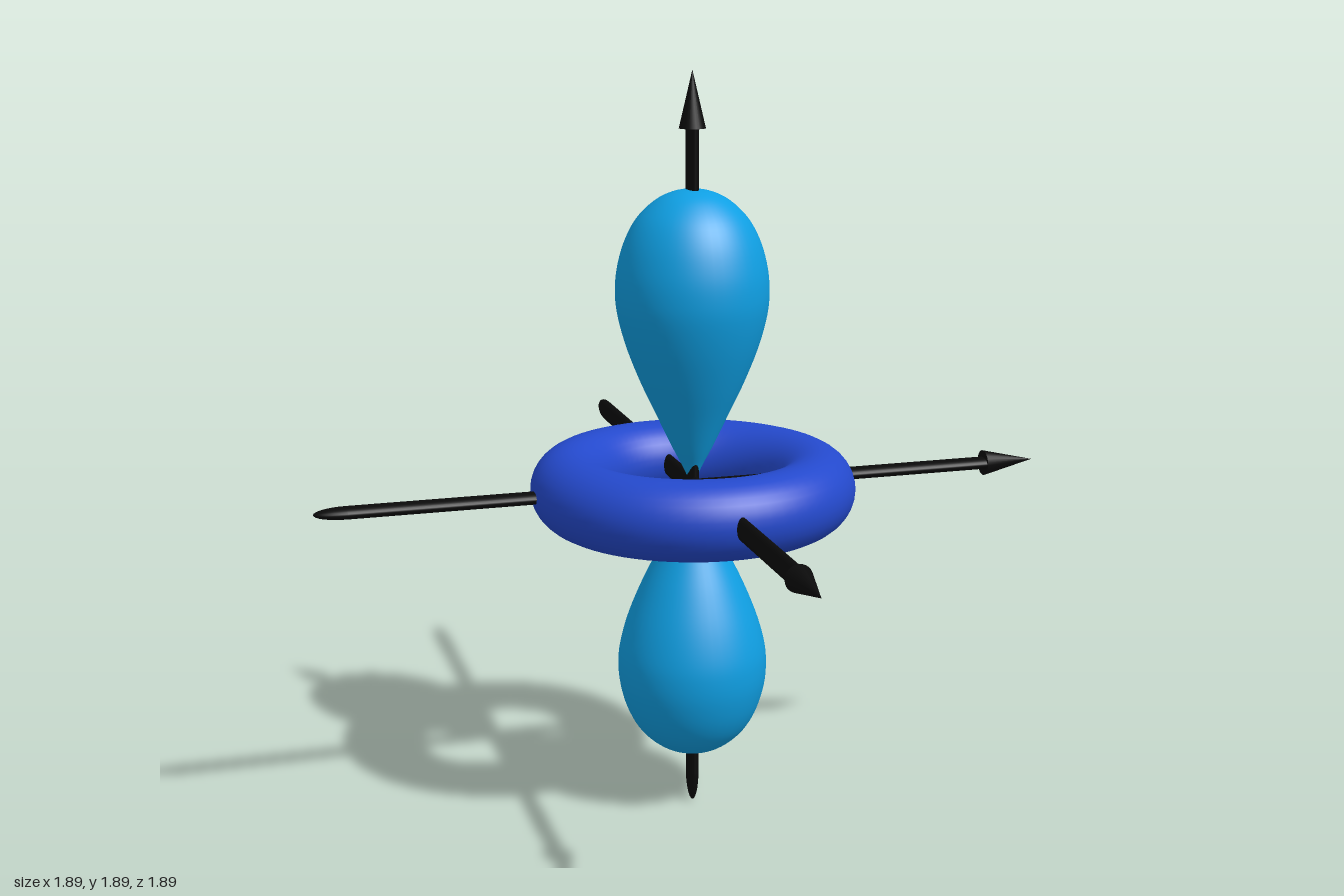
import * as THREE from 'three';

const mat = (name, color) => {
  const m = new THREE.MeshStandardMaterial({ color });
  m.name = name;
  return m;
};

export function createModel() {
  const black = mat('black', 0x0a0a0a);
  const skyBlue = mat('skyBlue', 0x0f9fe3);
  const deepBlue = mat('deepBlue', 0x2449cc);
  const root = new THREE.Group();
  root.name = 'orbital';
  const cx = -0.05, cy = 0.855;

  const add = (parent, name, geometry, material) => {
    const mesh = new THREE.Mesh(geometry, material);
    mesh.name = name;
    parent.add(mesh);
    return mesh;
  };

  // Arrow along +y: flattened rod with a rounded tail, and a round head
  const length = 1.89, headLength = 0.14, tail = 0.08;
  const rodProfile = [];
  for (let i = 0; i <= 8; i++) {
    const a = (i / 8) * Math.PI / 2;
    rodProfile.push(new THREE.Vector2(Math.sin(a), tail * (1 - Math.cos(a))));
  }
  rodProfile.push(new THREE.Vector2(1, length - headLength));
  const rodGeometry = new THREE.LatheGeometry(rodProfile, 24).scale(0.015, 1, 0.029);
  const headGeometry = new THREE.ConeGeometry(0.033, headLength, 24)
    .translate(0, length - headLength / 2, 0);

  const arrow = (name, position, rotation) => {
    const g = new THREE.Group();
    g.name = name;
    add(g, name + 'Rod', rodGeometry, black);
    add(g, name + 'Head', headGeometry, black);
    g.position.set(...position);
    g.rotation.set(...rotation);
    root.add(g);
  };
  arrow('sidewaysAxis', [-1, cy, 0.003], [0, 0, -Math.PI / 2]);
  arrow('uprightAxis', [cx, 0, 0], [0, 0, 0]);
  arrow('depthAxis', [cx, cy, -0.95], [Math.PI / 2, 0, 0]);

  // Teardrop lobes: narrow at the centre, rounded at the far end
  const lobePoints = [
    [0.006, 0.008], [0.024, 0.05], [0.05, 0.1], [0.088, 0.18], [0.13, 0.27],
    [0.165, 0.36], [0.186, 0.44], [0.191, 0.5], [0.185, 0.56], [0.166, 0.625],
    [0.135, 0.68], [0.09, 0.722], [0.045, 0.743], [0, 0.75],
  ].map(([r, y]) => new THREE.Vector2(r, y));
  const profile = new THREE.SplineCurve(lobePoints).getPoints(56);
  profile.forEach(p => { p.x = Math.max(0, p.x); });
  profile.unshift(new THREE.Vector2(0, 0.002));
  const lobeGeometry = new THREE.LatheGeometry(profile, 48);
  add(root, 'upperLobe', lobeGeometry, skyBlue).position.set(cx, cy, 0);
  const lower = add(root, 'lowerLobe', lobeGeometry, skyBlue);
  lower.position.set(cx, cy, 0);
  lower.rotation.x = Math.PI;
  lower.scale.y = 0.953;

  // Ring around the middle
  const ring = add(root, 'ring', new THREE.TorusGeometry(0.311, 0.099, 32, 72).rotateX(Math.PI / 2), deepBlue);
  ring.position.set(cx, cy - 0.002, 0.005);

  return root;
}
